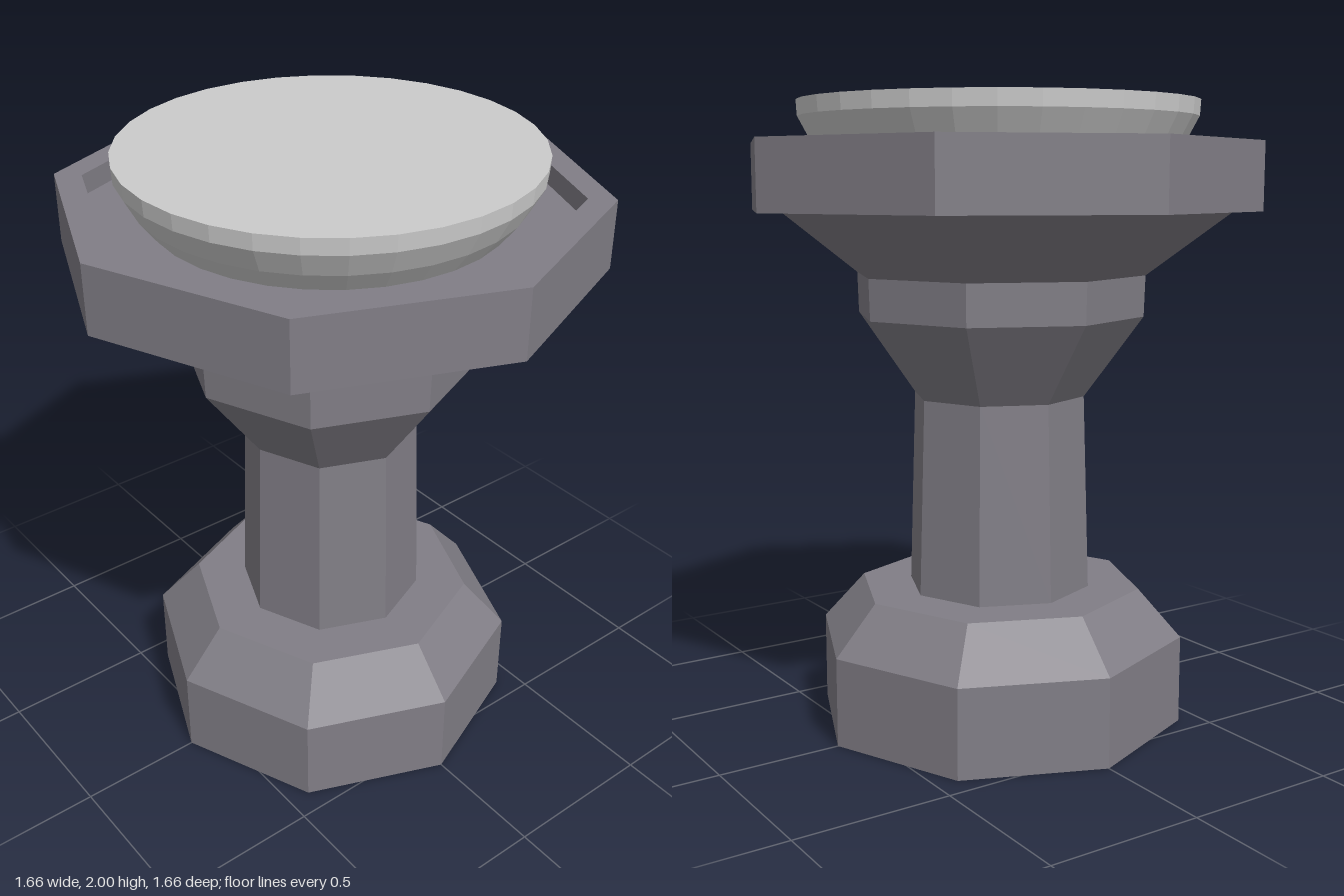
import * as THREE from 'three';

const stone = new THREE.MeshStandardMaterial({ color: 0x817e86, flatShading: true });
const pale = new THREE.MeshStandardMaterial({ color: 0xcccccc, flatShading: true });

// Turned part from a [radius, height] profile, listed so that faces point outward
function turned(name, profile, sides, material) {
  const points = profile.map(([r, y]) => new THREE.Vector2(r, y));
  const mesh = new THREE.Mesh(new THREE.LatheGeometry(points, sides), material);
  mesh.name = name;
  return mesh;
}

export function createModel() {
  const group = new THREE.Group();
  group.name = 'pedestal';

  // Octagonal foot with a bevelled shoulder
  group.add(turned('foot', [[0, 0], [0.605, 0], [0.605, 0.285], [0.465, 0.44], [0.3, 0.44]], 8, stone));

  // Tapered octagonal column
  group.add(turned('column', [[0.3, 0.44], [0.28, 1.07]], 8, stone));

  // Flared capital
  group.add(turned('capital', [[0.28, 1.07], [0.468, 1.33], [0.472, 1.46]], 8, stone));

  // Wide tray: sloping underside, upright rim and shallow recess
  group.add(turned('tray', [
    [0.472, 1.46], [0.74, 1.66], [0.83, 1.66], [0.83, 1.875],
    [0.745, 1.875], [0.745, 1.81], [0, 1.81],
  ], 8, stone));

  // Round disc resting in the recess
  group.add(turned('disc', [[0.54, 1.81], [0.59, 1.875], [0.63, 1.95], [0.633, 2], [0, 2]], 32, pale));

  return group;
}
